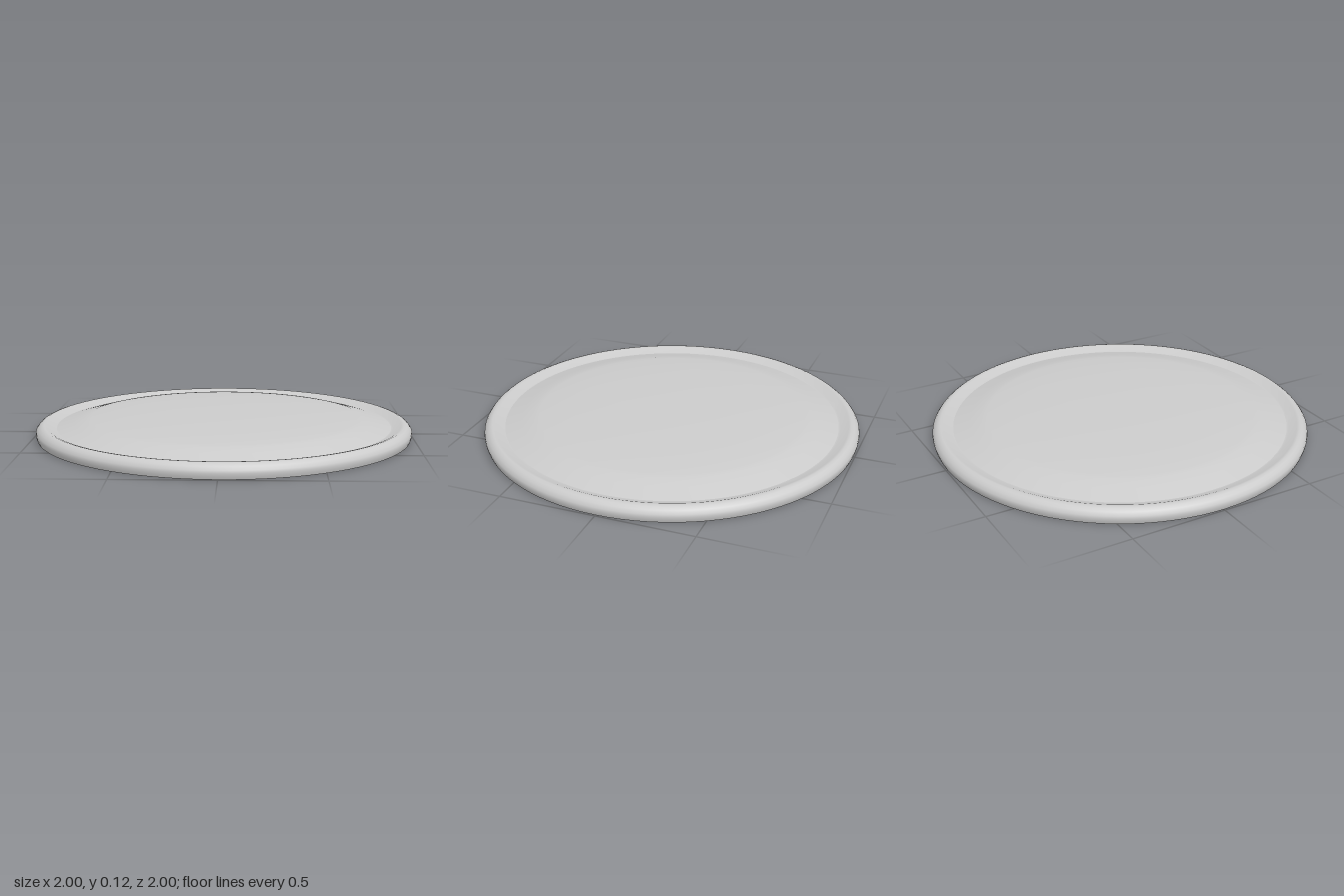
import * as THREE from 'three';
import { toCreasedNormals } from 'three/addons/utils/BufferGeometryUtils.js';

const SEGMENTS = 96;

// Revolve a profile of [radius, height] points about the y axis
function revolve(name, profile, material) {
  const points = profile.map(([r, y]) => new THREE.Vector2(r, y));
  const geometry = toCreasedNormals(new THREE.LatheGeometry(points, SEGMENTS), 0.7);
  const mesh = new THREE.Mesh(geometry, material);
  mesh.name = name;
  return mesh;
}

export function createModel() {
  const group = new THREE.Group();
  group.name = 'domedDisc';
  const material = new THREE.MeshStandardMaterial({ color: 0xcccccc });

  // Very slightly hollowed underside
  group.add(revolve('underside', [[0, 0.007], [0.25, 0.007], [0.9, 0.001], [0.992, 0]], material));

  // Upright outer edge, bevelled shoulder and the gentle slope into the groove
  group.add(revolve('rim', [
    [0.992, 0], [0.997, 0.014], [1, 0.03], [0.998, 0.044],
    [0.986, 0.06], [0.972, 0.071], [0.957, 0.076], [0.942, 0.073],
    [0.9, 0.054], [0.89, 0.053],
  ], material));

  // Shallow dome: sloping border, then a flatter crown
  group.add(revolve('dome', [
    [0.89, 0.053], [0.8, 0.077], [0.74, 0.093], [0.71, 0.097],
    [0.53, 0.109], [0.28, 0.117], [0, 0.118],
  ], material));

  return group;
}
